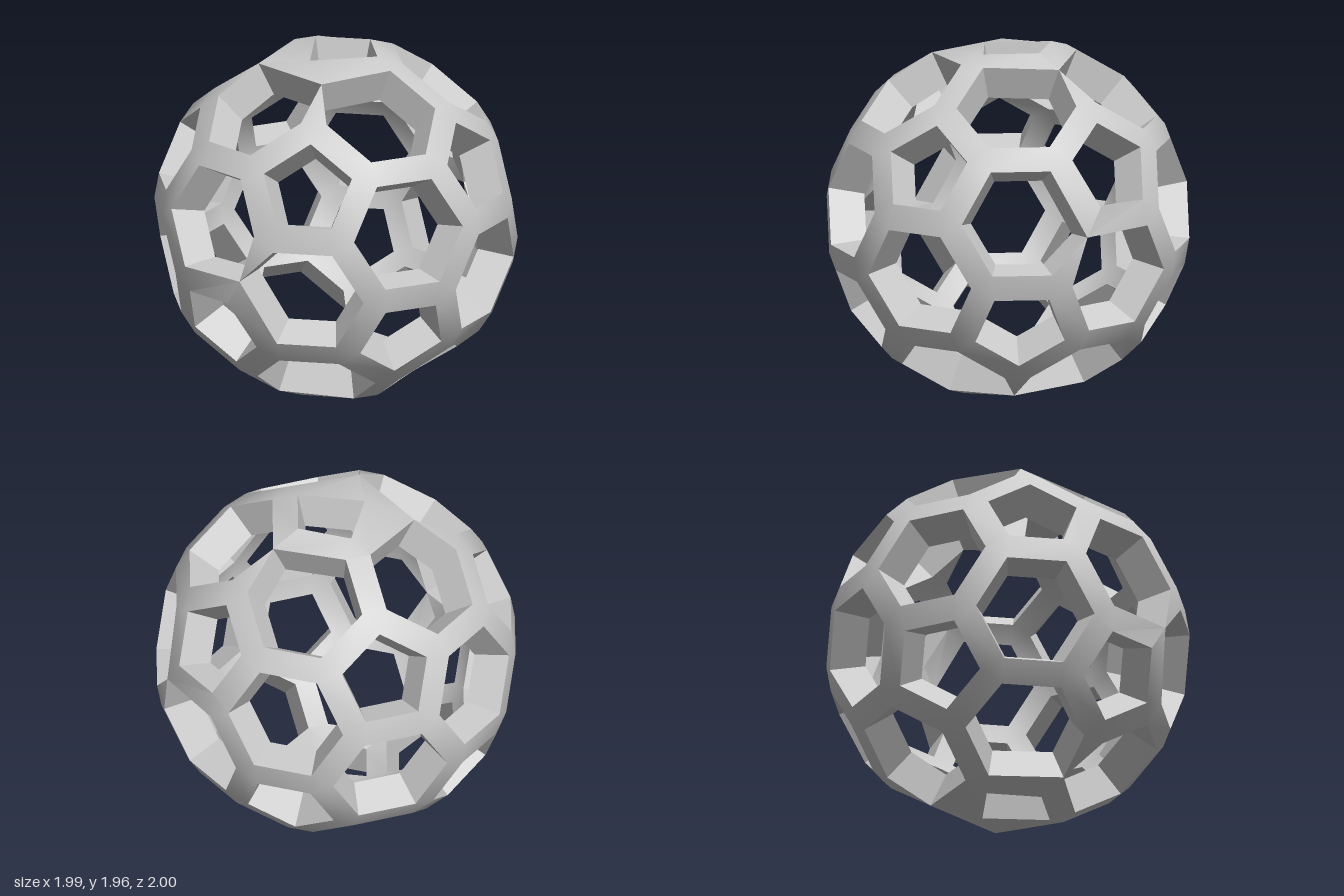
import * as THREE from 'three';
import { toCreasedNormals } from 'three/addons/utils/BufferGeometryUtils.js';

const OUTER = 1.015;      // radius of the outer skin
const INNER = 0.8;        // inner skin as a fraction of the outer
const PENT_INSET = 0.27;  // how far hole corners sit from the lattice corners
const HEX_INSET = 0.21;

// Hubs (pairs of neighbouring axes) whose two hexagon corners meet in one point
const PINCHED_HUBS = [[0, 1], [0, 3], [0, 4], [1, 10], [6, 7], [6, 9], [6, 10], [7, 3]];

// Twelve directions of the pentagonal holes, one of them straight up
function pentagonAxes() {
  const axes = [new THREE.Vector3(0, 1, 0)];
  for (let i = 0; i < 5; i++) {
    const a = (i * Math.PI * 2) / 5;
    axes.push(new THREE.Vector3(2 * Math.cos(a), 1, 2 * Math.sin(a)).normalize());
  }
  return axes.concat(axes.map((v) => v.clone().negate()));
}

// Pentagon and hexagon loops of the lattice, anticlockwise from outside
function latticeFaces() {
  const axes = pentagonAxes();
  const corners = new Map();
  const near = (i, j) => i !== j && axes[i].dot(axes[j]) > 0.4;
  const corner = (i, j) => {
    const key = i * 12 + j;
    corners.set(key, axes[i].clone().lerp(axes[j], 1 / 3).setLength(OUTER));
    return key;
  };
  const faces = [];
  const addFace = (keys, inset) => {
    const centre = new THREE.Vector3();
    keys.forEach((k) => centre.addScaledVector(corners.get(k), 1 / keys.length));
    const u = corners.get(keys[0]).clone().sub(centre).normalize();
    const w = centre.clone().normalize().cross(u);
    const angle = (k) => {
      const d = corners.get(k).clone().sub(centre);
      return Math.atan2(d.dot(w), d.dot(u));
    };
    keys.sort((a, b) => angle(a) - angle(b));
    const rim = new Map();
    keys.forEach((k) => rim.set(k, corners.get(k).clone().lerp(centre, inset).setLength(OUTER)));
    faces.push({ keys, rim });
  };
  for (let i = 0; i < 12; i++) {
    const ring = [];
    for (let j = 0; j < 12; j++) if (near(i, j)) ring.push(corner(i, j));
    addFace(ring, PENT_INSET);
  }
  for (let i = 0; i < 12; i++)
    for (let j = i + 1; j < 12; j++)
      for (let k = j + 1; k < 12; k++)
        if (near(i, j) && near(j, k) && near(i, k))
          addFace([corner(i, j), corner(j, i), corner(j, k), corner(k, j), corner(k, i), corner(i, k)], HEX_INSET);

  for (const [i, j] of PINCHED_HUBS) {
    const point = axes[i].clone().lerp(axes[j], 0.41).setLength(OUTER);
    for (const { keys, rim } of faces) if (keys.length === 6 && rim.has(i * 12 + j)) rim.get(i * 12 + j).copy(point);
  }

  // The top and bottom holes have one side pinched to a single corner
  for (const [index, side] of [[0, 1], [6, -1]]) {
    const pinch = new THREE.Vector3(-0.2, 0.96, 0).multiplyScalar(side);
    for (const v of faces[index].rim.values()) if (v.x * side < -0.1) v.copy(pinch);
  }
  return { faces, corners };
}

function polygonMesh(name, polygons, material) {
  const pos = [];
  for (const p of polygons)
    for (let i = 1; i < p.length - 1; i++) {
      const tri = [p[0], p[i], p[i + 1]];
      if (new THREE.Triangle(...tri).getArea() < 1e-6) continue;
      for (const v of tri) pos.push(v.x, v.y, v.z);
    }
  const geometry = new THREE.BufferGeometry();
  geometry.setAttribute('position', new THREE.Float32BufferAttribute(pos, 3));
  const mesh = new THREE.Mesh(toCreasedNormals(geometry, 0.4), material);
  mesh.name = name;
  return mesh;
}

export function createModel() {
  const material = new THREE.MeshStandardMaterial({ color: 0xcccccc });
  const { faces, corners } = latticeFaces();
  const inward = (v) => v.clone().multiplyScalar(INNER);
  const skin = [];
  const walls = [];
  const edges = new Map();

  // Walls of every hole, tapering towards the centre of the ball
  for (const face of faces)
    face.keys.forEach((a, n) => {
      const b = face.keys[(n + 1) % face.keys.length];
      const A = face.rim.get(a);
      const B = face.rim.get(b);
      walls.push([A, B, inward(B), inward(A)]);
      edges.set(a + '>' + b, { a, b, A, B });
    });

  // Struts between neighbouring holes
  for (const { a, b, A, B } of edges.values()) {
    if (a > b) continue;
    const other = edges.get(b + '>' + a);
    skin.push([B, A, other.B, other.A]);
  }

  // Triangular hubs where three struts meet
  for (const [key, v] of corners) {
    const tri = faces.filter((f) => f.rim.has(key)).map((f) => f.rim.get(key));
    const normal = tri[1].clone().sub(tri[0]).cross(tri[2].clone().sub(tri[0]));
    if (normal.dot(v) < 0) tri.reverse();
    skin.push(tri);
  }

  const ball = new THREE.Group();
  ball.name = 'latticeBall';
  ball.add(
    polygonMesh('outerSkin', skin, material),
    polygonMesh('innerSkin', skin.map((p) => p.map(inward).reverse()), material),
    polygonMesh('holeWalls', walls, material)
  );
  ball.position.y = -new THREE.Box3().setFromObject(ball).min.y;

  const model = new THREE.Group();
  model.name = 'model';
  model.add(ball);
  return model;
}
